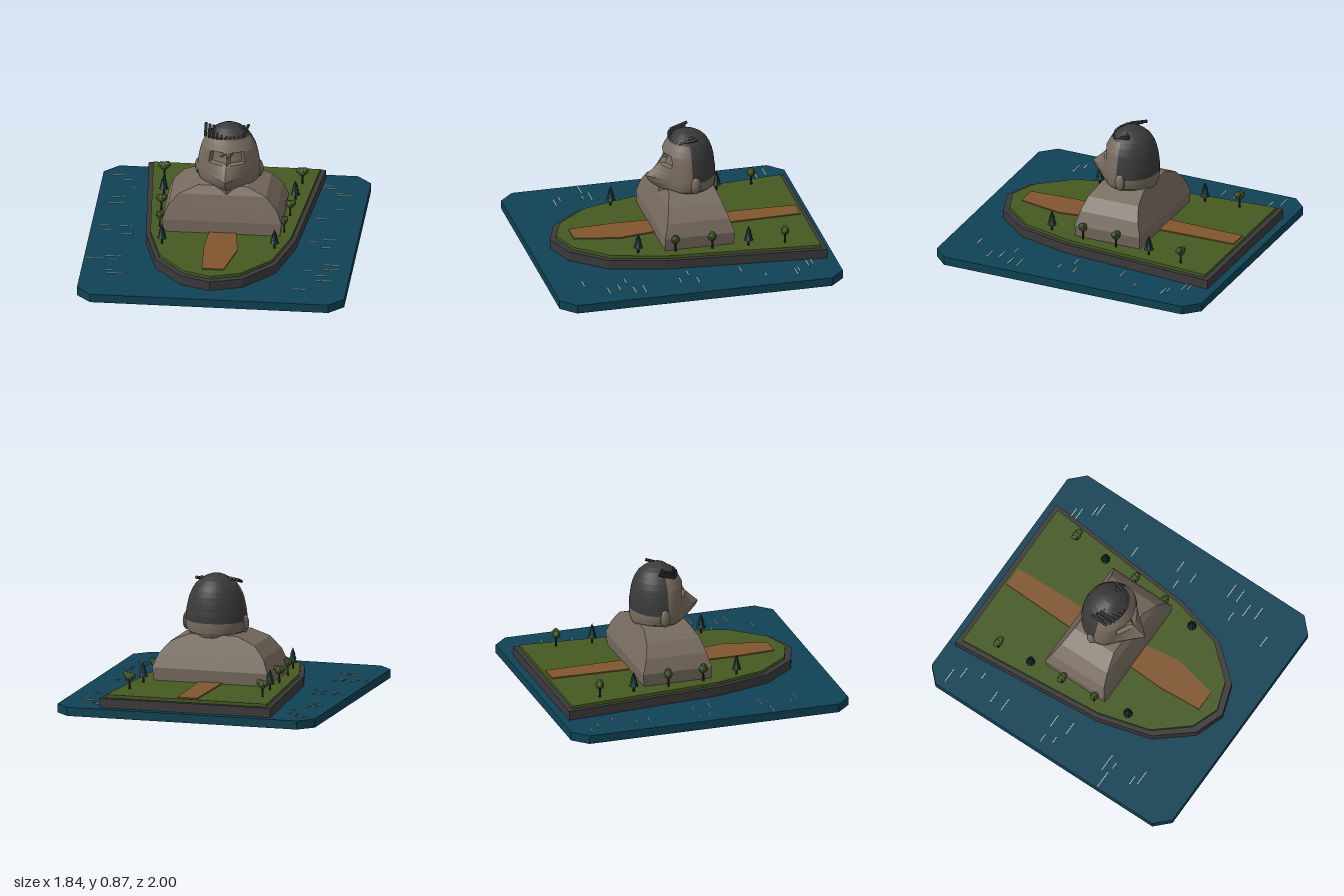
import * as THREE from 'three';
import { mergeGeometries } from 'three/addons/utils/BufferGeometryUtils.js';

const material = (name, color) => {
  const m = new THREE.MeshStandardMaterial({ color, flatShading: true });
  m.name = name;
  return m;
};

// Horizontal slab from an [x, z] outline
function slab(outline, y0, y1) {
  const shape = new THREE.Shape(outline.map(([x, z]) => new THREE.Vector2(x, -z)));
  const g = new THREE.ExtrudeGeometry(shape, { depth: y1 - y0, bevelEnabled: false });
  return g.rotateX(-Math.PI / 2).translate(0, y0, 0);
}

// Skin between stacked rings (bottom to top); keep(i, j) selects quads
function loft(rings, keep = () => true) {
  const pos = [];
  const tri = (...pts) => pts.forEach((p) => pos.push(...p));
  for (let i = 0; i < rings.length - 1; i++) {
    const n = rings[i].length;
    for (let j = 0; j < n; j++) {
      if (!keep(i, j)) continue;
      const k = (j + 1) % n;
      const a = rings[i][j], b = rings[i][k], c = rings[i + 1][k], d = rings[i + 1][j];
      tri(a, b, c);
      tri(a, c, d);
    }
  }
  const g = new THREE.BufferGeometry();
  g.setAttribute('position', new THREE.Float32BufferAttribute(pos, 3));
  g.computeVertexNormals();
  return g;
}

// Cylinder running between two points
function rod(a, b, r) {
  const from = new THREE.Vector3(...a), dir = new THREE.Vector3(...b).sub(from);
  const g = new THREE.CylinderGeometry(r, r, dir.length(), 7);
  g.applyQuaternion(new THREE.Quaternion().setFromUnitVectors(
    new THREE.Vector3(0, 1, 0), dir.clone().normalize()));
  const mid = from.addScaledVector(dir, 0.5);
  return g.translate(mid.x, mid.y, mid.z);
}

export function createModel() {
  const model = new THREE.Group();
  model.name = 'islandMonument';
  const water = material('water', 0x0f4254);
  const foam = material('foam', 0xa8bfb8);
  const rock = material('rock', 0x3b3939);
  const grass = material('grass', 0x455a22);
  const dirt = material('dirt', 0x80552f);
  const stone = material('carvedStone', 0x776b5f);
  const hair = material('darkHair', 0x3a3a3b);
  const leaf = material('leaf', 0x3d5420);
  const pine = material('pine', 0x10302f);
  const bark = material('bark', 0x33281e);
  const add = (name, geometry, mat, parent = model) => {
    const mesh = new THREE.Mesh(geometry, mat);
    mesh.name = name;
    parent.add(mesh);
    return mesh;
  };

  // Water block with cut corners
  add('waterBase', slab([[-0.82, 1], [0.82, 1], [0.92, 0.9], [0.92, -0.9],
    [0.82, -1], [-0.82, -1], [-0.92, -0.9], [-0.92, 0.9]], 0, 0.06), water);

  // Foam dashes: x, z, length
  const dashes = [
    [-0.815, -0.855, 0.11], [-0.75, -0.785, 0.09], [-0.69, -0.66, 0.05], [-0.775, -0.515, 0.09],
    [-0.78, -0.42, 0.1], [-0.83, -0.07, 0.06], [-0.685, -0.075, 0.1], [-0.8, 0.005, 0.05],
    [-0.67, 0.045, 0.1], [-0.73, 0.395, 0.13], [-0.85, 0.44, 0.13], [-0.72, 0.45, 0.05],
    [-0.74, 0.61, 0.07], [-0.69, 0.655, 0.11], [0.64, -0.825, 0.08], [0.65, -0.79, 0.1],
    [0.73, -0.71, 0.07], [0.765, -0.685, 0.1], [0.755, -0.47, 0.05], [0.64, -0.32, 0.08],
    [0.73, 0, 0.09], [0.61, 0.045, 0.07], [0.71, 0.12, 0.07], [0.785, 0.39, 0.11],
    [0.785, 0.46, 0.1], [0.625, 0.49, 0.07], [0.72, 0.555, 0.1], [0.75, 0.635, 0.1], [0.6, 0.78, 0.09],
  ];
  add('foamDashes', mergeGeometries(dashes.map(([x, z, w]) =>
    new THREE.BoxGeometry(w, 0.004, 0.007).translate(x, 0.062, z))), foam);

  // Rocky island, lawn and path
  add('islandRock', slab([[-0.615, -0.945], [-0.52, 0.17], [-0.415, 0.55], [-0.22, 0.785],
    [-0.01, 0.86], [0.21, 0.785], [0.41, 0.55], [0.51, 0.17], [0.605, -0.945]], 0.06, 0.125), rock);
  add('lawn', slab([[-0.58, -0.91], [-0.49, 0.16], [-0.39, 0.52], [-0.2, 0.745],
    [-0.01, 0.815], [0.19, 0.745], [0.385, 0.52], [0.48, 0.16], [0.57, -0.91]], 0.125, 0.146), grass);
  add('path', slab([[-0.075, -0.89], [-0.09, -0.3], [-0.09, 0.15], [-0.1, 0.4], [-0.08, 0.71],
    [0.07, 0.71], [0.135, 0.4], [0.1, 0.15], [0.08, -0.3], [0.065, -0.89]], 0.146, 0.154), dirt);

  // Shoulders: y, half width, back z, front z
  const shoulderRings = [
    [0.146, 0.4, -0.335, 0.15], [0.235, 0.412, -0.342, 0.15], [0.33, 0.375, -0.31, 0.125],
    [0.415, 0.3, -0.28, 0.1], [0.47, 0.17, -0.26, 0.065], [0.475, 0.001, -0.1, -0.099],
  ].map(([y, w, zb, zf]) => [[-w, y, zf], [w, y, zf], [w, y, zb], [-w, y, zb]]);
  add('shoulders', loft(shoulderRings), stone);

  // Head: y, half width, back z, front z, nose reach
  const headX = 0.025, headZ = -0.085, cols = 48;
  const rows = [
    [0.395, 0.002, -0.09, 0.0, 0.09], [0.42, 0.09, -0.2, 0.03, 0.07], [0.45, 0.165, -0.275, 0.05, 0.05],
    [0.48, 0.205, -0.287, 0.06, 0.08], [0.515, 0.214, -0.29, 0.065, 0.11], [0.55, 0.216, -0.29, 0.065, 0.13],
    [0.6, 0.212, -0.29, 0.065, 0.075], [0.635, 0.207, -0.285, 0.065, 0.04], [0.645, 0.205, -0.285, 0.065, 0.032],
    [0.68, 0.197, -0.28, 0.068, 0.01], [0.715, 0.188, -0.272, 0.07, 0], [0.725, 0.184, -0.27, 0.07, 0],
    [0.765, 0.165, -0.255, 0.05, 0], [0.8, 0.142, -0.235, 0.03, 0], [0.83, 0.108, -0.205, -0.005, 0],
    [0.853, 0.07, -0.165, -0.035, 0], [0.866, 0.035, -0.13, -0.06, 0], [0.87, 0.001, -0.086, -0.084, 0],
  ];
  const headRings = rows.map(([y, w, zb, zf, nose]) => Array.from({ length: cols }, (_, j) => {
    const a = (j / cols) * Math.PI * 2, c = Math.cos(a), x = w * Math.sin(a), ax = Math.abs(x);
    let z = headZ + c * (c > 0 ? zf - headZ : headZ - zb);
    if (c > 0) {
      z += nose * Math.max(0, 1 - ax / 0.14) ** 1.2;
      if (y > 0.64 && y < 0.72 && ax > 0.025 && ax < 0.11) z -= 0.028; // eye sockets
    }
    return [headX + x, y, z];
  }));
  const isHair = (i, j) => {
    const y = rows[i][0], c = Math.cos(((j + 0.5) / cols) * Math.PI * 2);
    return y >= 0.8 || (y >= 0.55 && c < 0);
  };
  add('face', loft(headRings, (i, j) => !isHair(i, j)), stone);
  add('hairCap', loft(headRings, isHair), hair);

  // Ears
  for (const s of [-1, 1]) {
    const ear = add(s > 0 ? 'leftEar' : 'rightEar', new THREE.SphereGeometry(1, 10, 8), stone);
    ear.scale.set(0.028, 0.062, 0.036);
    ear.position.set(headX + s * 0.208, 0.532, -0.11);
  }

  // Fringe of slanted locks
  const locks = [];
  for (let i = 0; i < 10; i++) {
    const t = i / 9, x = -0.125 + t * 0.255, bow = (2 * t - 1) ** 2;
    locks.push(rod([x - 0.005, 0.806, 0.025 - 0.045 * bow],
      [x + (t < 0.5 ? -0.012 : 0.025), 0.842, -0.09 - 0.05 * bow], 0.011));
  }
  add('fringe', mergeGeometries(locks), hair);

  // Trees
  const trunk = (h) => new THREE.CylinderGeometry(0.006, 0.008, h, 6).translate(0, h / 2, 0);
  const blob = (r, x, y, z) => new THREE.IcosahedronGeometry(r, 1).translate(x, y, z);
  const roundTree = () => {
    const g = new THREE.Group();
    add('trunk', trunk(0.08), bark, g);
    add('crown', mergeGeometries([blob(0.03, 0, 0.088, 0), blob(0.023, 0.02, 0.1, 0.004),
      blob(0.022, -0.02, 0.094, -0.004)]), leaf, g);
    return g;
  };
  const pineTree = () => {
    const g = new THREE.Group();
    add('trunk', trunk(0.06), bark, g);
    add('needles', mergeGeometries([0, 1, 2].map((k) =>
      new THREE.ConeGeometry(0.034 - k * 0.007, 0.05, 8).translate(0, 0.066 + k * 0.027, 0))), pine, g);
    return g;
  };
  const plant = (name, make, x, z, sx = 1) => {
    for (const s of [-1, 1]) {
      const tree = make();
      tree.name = name;
      tree.position.set(s * x - 0.005, 0.146, z);
      tree.scale.x = sx;
      model.add(tree);
    }
  };
  plant('roundTree', roundTree, 0.475, -0.68, 1.05);
  plant('roundTree', roundTree, 0.443, -0.175, 0.95);
  plant('roundTree', roundTree, 0.428, 0.082, 0.65);
  plant('pineTree', pineTree, 0.453, -0.428);
  plant('pineTree', pineTree, 0.387, 0.335);

  return model;
}
